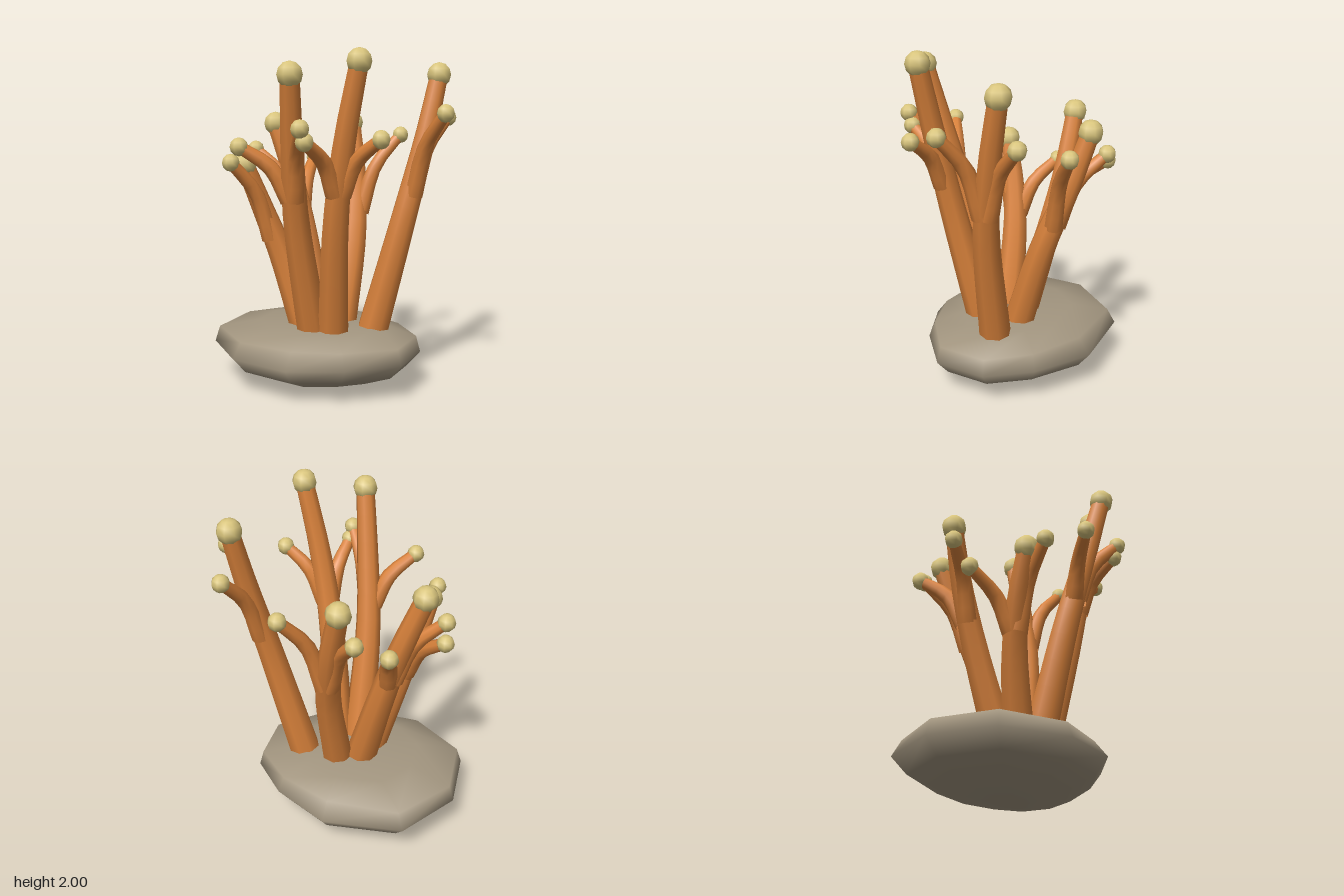
import * as THREE from 'three';

const V = (a) => new THREE.Vector3(...a);

// Main stalks: path points from the rock to the tip, plus the tips of two side shoots
const STALKS = [
  { path: [[-0.07, 0.33, 0.11], [-0.08, 1.05, 0.3], [-0.04, 1.5, 0.42], [0, 1.86, 0.51]],
    shoots: [[-0.32, 1.47, 0.51], [0.09, 1.58, 0.57]] },
  { path: [[0.05, 0.33, 0.09], [0.14, 1.05, 0.24], [0.22, 1.5, 0.3], [0.32, 1.93, 0.33]],
    shoots: [[0.44, 1.52, 0.31], [0.1, 1.51, 0.54]] },
  { path: [[0.22, 0.33, -0.1], [0.4, 1.05, -0.15], [0.49, 1.5, -0.23], [0.54, 1.86, -0.31]],
    shoots: [[0.68, 1.65, -0.03], [0.56, 1.61, -0.43]] },
  { path: [[0, 0.33, -0.13], [0.01, 0.88, -0.3], [-0.04, 1.24, -0.43], [-0.11, 1.56, -0.52]],
    shoots: [[0.21, 1.49, -0.55], [-0.21, 1.42, -0.58]] },
  { path: [[-0.13, 0.33, -0.09], [-0.28, 0.88, -0.19], [-0.39, 1.24, -0.23], [-0.51, 1.56, -0.23]],
    shoots: [[-0.62, 1.4, -0.17], [-0.38, 1.33, -0.51]] },
  { path: [[-0.16, 0.33, 0.03], [-0.31, 0.8, 0.07], [-0.4, 1.08, 0.13], [-0.47, 1.34, 0.21]],
    shoots: [[-0.61, 1.21, -0.07], [-0.49, 1.36, 0.33]] },
];

// Tube whose radius shrinks evenly along the curve
function taperedTube(curve, r0, r1, steps) {
  const sides = 8;
  const geo = new THREE.TubeGeometry(curve, steps, 1, sides, false);
  const pos = geo.attributes.position;
  const v = new THREE.Vector3();
  for (let i = 0; i <= steps; i++) {
    const c = curve.getPointAt(i / steps);
    const r = r0 + (r1 - r0) * (i / steps);
    for (let j = 0; j <= sides; j++) {
      const k = i * (sides + 1) + j;
      v.fromBufferAttribute(pos, k).sub(c).multiplyScalar(r).add(c);
      pos.setXYZ(k, v.x, v.y, v.z);
    }
  }
  return geo;
}

// Flattened boulder: scaled copies of one outline, closed at top and bottom
function rockGeometry() {
  const outline = [[0.5, 0.13], [0.25, 0.36], [-0.05, 0.5], [-0.43, 0.44], [-0.73, 0.17],
    [-0.74, -0.22], [-0.5, -0.56], [-0.03, -0.6], [0.3, -0.41], [0.5, -0.18]];
  const cx = -0.08, cz = -0.04, n = outline.length;
  const rings = [[0.05, 0.55], [0.13, 0.87], [0.22, 1], [0.315, 0.86], [0.37, 0.58]];
  const pts = [cx + 0.04, 0, cz];
  rings.forEach(([y, s], i) => {
    for (const [x, z] of outline) {
      const dx = x - cx, dz = z - cz;
      const wide = i === 3 ? 0.1 * Math.abs(dx) / Math.hypot(dx, dz) : 0;
      pts.push(cx + dx * (s + wide), y, cz + dz * (s + wide));
    }
  });
  pts.push(cx, 0.385, cz);
  const top = 1 + rings.length * n, index = [];
  for (let j = 0; j < n; j++) {
    const k = (j + 1) % n;
    index.push(0, 1 + j, 1 + k);
    for (let i = 0; i < rings.length - 1; i++) {
      const a = 1 + i * n + j, b = 1 + i * n + k;
      index.push(a, a + n, b, b, a + n, b + n);
    }
    index.push(top, top - n + k, top - n + j);
  }
  const geo = new THREE.BufferGeometry();
  geo.setAttribute('position', new THREE.Float32BufferAttribute(pts, 3));
  geo.setIndex(index);
  geo.computeVertexNormals();
  return geo;
}

export function createModel() {
  const orange = new THREE.MeshStandardMaterial({ color: 0xd9823b, side: THREE.DoubleSide });
  orange.name = 'coral orange';
  const cream = new THREE.MeshStandardMaterial({ color: 0xd8c47c });
  cream.name = 'tip yellow';
  const stone = new THREE.MeshStandardMaterial({ color: 0xa39680 });
  stone.name = 'stone grey';

  const model = new THREE.Group();
  model.name = 'coral';
  const add = (parent, name, geo, mat) => {
    const mesh = new THREE.Mesh(geo, mat);
    mesh.name = name;
    parent.add(mesh);
    return mesh;
  };

  add(model, 'rock', rockGeometry(), stone);

  const bigTip = new THREE.SphereGeometry(0.073, 8, 6);
  const smallTip = new THREE.SphereGeometry(0.052, 8, 6);

  for (const { path, shoots } of STALKS) {
    const branch = new THREE.Group();
    branch.name = 'branch';
    model.add(branch);

    // Main stalk and its rounded tip
    const curve = new THREE.CatmullRomCurve3(path.map(V));
    add(branch, 'stalk', taperedTube(curve, 0.096, 0.055, 10), orange);
    add(branch, 'stalkTip', bigTip, cream).position.copy(curve.getPoint(1));

    // Side shoots rise first, then bend outward
    for (const end of shoots.map(V)) {
      const start = curve.getPointAt(0.55);
      const out = end.clone().sub(start).setY(0).setLength(0.03);
      start.add(out);
      const mid = start.clone().lerp(end, 0.37);
      mid.y = start.y + (end.y - start.y) * 0.6;
      const shootCurve = new THREE.CatmullRomCurve3([start, mid, end]);
      add(branch, 'shoot', taperedTube(shootCurve, 0.056, 0.034, 6), orange);
      add(branch, 'shootTip', smallTip, cream).position.copy(end);
    }
  }
  return model;
}
